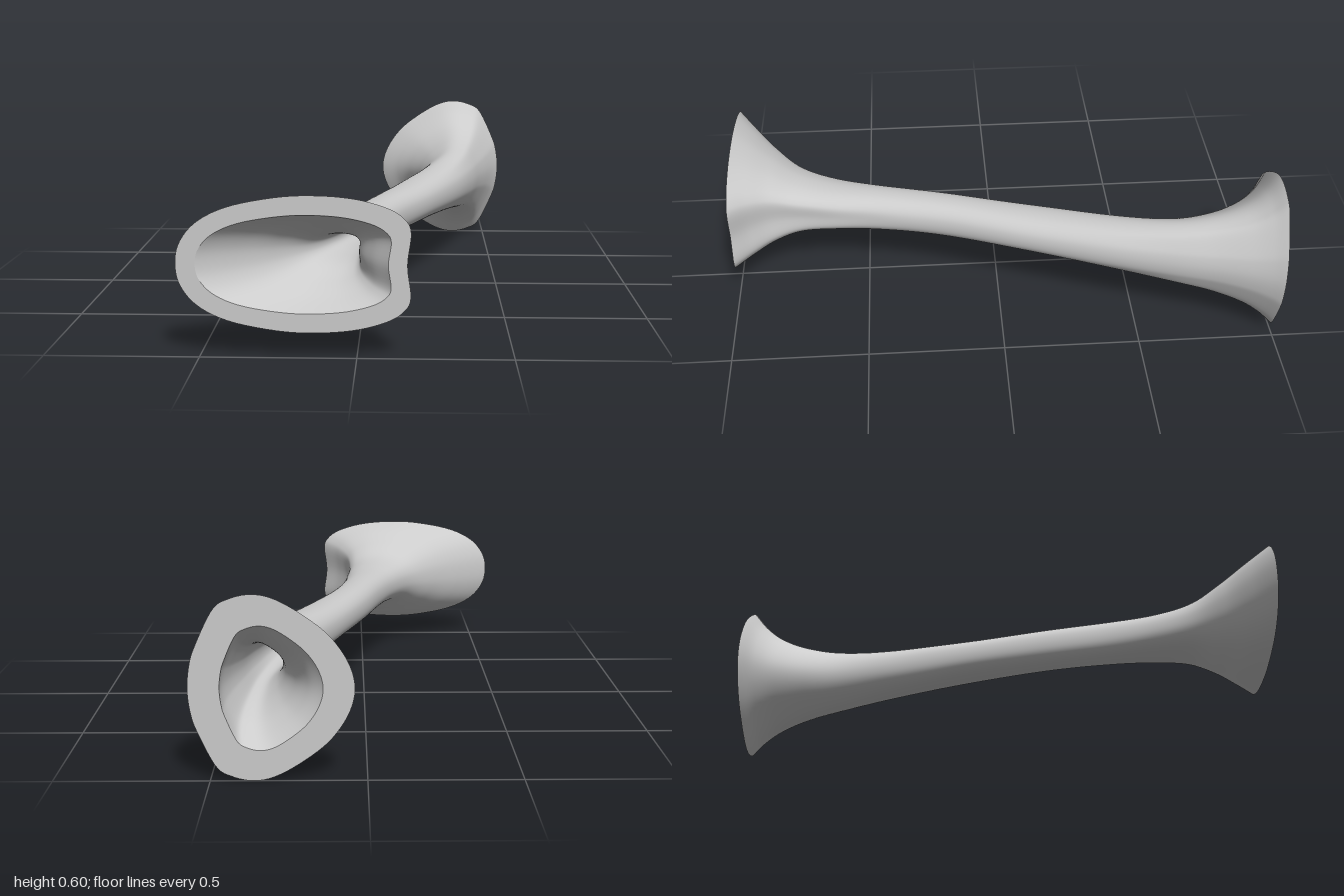
import * as THREE from 'three';

const CENTRE_Y = 0.305;
const RINGS = 120, SIDES = 96;

// Stations along the tube: z, left edge, right edge, half height, wall thickness
const STATIONS = [
  [-1.00, 0.04, 0.565, 0.302, 0.100],
  [-0.95, 0.11, 0.54, 0.245, 0.080],
  [-0.88, 0.165, 0.512, 0.195, 0.068],
  [-0.77, 0.208, 0.475, 0.152, 0.060],
  [-0.62, 0.222, 0.435, 0.120, 0.055],
  [-0.40, 0.17, 0.37, 0.093, 0.050],
  [-0.10, 0.073, 0.262, 0.077, 0.048],
  [0.20, -0.018, 0.15, 0.075, 0.048],
  [0.45, -0.085, 0.09, 0.077, 0.048],
  [0.62, -0.145, 0.068, 0.083, 0.050],
  [0.75, -0.22, 0.055, 0.102, 0.052],
  [0.85, -0.33, 0.066, 0.148, 0.056],
  [0.93, -0.45, 0.11, 0.190, 0.060],
  [1.00, -0.57, 0.17, 0.220, 0.062],
];

// Upper halves of the unit cross-sections, from +x over the top to -x
const BACK = [[1, 0], [0.97, 0.25], [0.9, 0.45], [0.68, 0.84], [0.48, 0.955], [0.22, 1],
  [-0.05, 0.95], [-0.39, 0.78], [-0.7, 0.56], [-0.92, 0.28], [-1, 0]];
const FRONT = [[0.97, 0], [1, 0.46], [0.95, 0.66], [0.81, 0.82], [0.54, 0.95], [0.21, 1],
  [-0.13, 0.975], [-0.54, 0.84], [-0.81, 0.62], [-0.96, 0.32], [-1, 0]];
const MIDDLE = BACK.map((_, i) => {
  const a = (i / 10) * Math.PI, c = Math.cos(a), s = Math.sin(a);
  return [Math.sign(c) * Math.abs(c) ** 0.88, Math.abs(s) ** 0.88];
});

// Blended unit outline at a given z
function outline(z) {
  const f = THREE.MathUtils.smoothstep(z, 0.3, 0.9);
  const b = THREE.MathUtils.smoothstep(-z, 0.2, 0.92);
  const half = MIDDLE.map((m, i) => new THREE.Vector3(
    m[0] * (1 - f - b) + FRONT[i][0] * f + BACK[i][0] * b,
    m[1] * (1 - f - b) + FRONT[i][1] * f + BACK[i][1] * b, 0));
  const lower = half.slice(1, -1).reverse().map((p) => new THREE.Vector3(p.x, -p.y, 0));
  const curve = new THREE.CatmullRomCurve3([...half, ...lower], true, 'catmullrom', 0.5);
  return Array.from({ length: SIDES }, (_, j) => curve.getPoint(j / SIDES));
}

// Surface through a row of closed rings
function loft(name, rings, material) {
  const index = [];
  for (let i = 0; i < rings.length - 1; i++) {
    for (let j = 0; j < SIDES; j++) {
      const k = (j + 1) % SIDES;
      const a = i * SIDES + j, b = i * SIDES + k;
      const c = b + SIDES, d = a + SIDES;
      index.push(a, b, c, a, c, d);
    }
  }
  const geometry = new THREE.BufferGeometry().setFromPoints(rings.flat());
  geometry.setIndex(index);
  geometry.computeVertexNormals();
  const mesh = new THREE.Mesh(geometry, material);
  mesh.name = name;
  return mesh;
}

export function createModel() {
  const material = new THREE.MeshStandardMaterial({ color: 0xcccccc });
  const edges = new THREE.CatmullRomCurve3(
    STATIONS.map(([z, l, r]) => new THREE.Vector3(l, r, z)), false, 'catmullrom', 0.5);
  const sizes = new THREE.CatmullRomCurve3(
    STATIONS.map(([, , , h, t]) => new THREE.Vector3(h, t, 0)), false, 'catmullrom', 0.5);

  const outer = [], inner = [];
  for (let i = 0; i <= RINGS; i++) {
    const { x: left, y: right, z } = edges.getPoint(i / RINGS);
    const { x: halfHeight, y: wall } = sizes.getPoint(i / RINGS);
    const unit = outline(z);
    const ring = (inset) => unit.map((p) => new THREE.Vector3(
      (left + right) / 2 + p.x * ((right - left) / 2 - inset),
      CENTRE_Y + p.y * (halfHeight - inset), z));
    outer.push(ring(0));
    inner.push(ring(wall));
  }

  const group = new THREE.Group();
  group.name = 'flaredTube';
  group.add(
    loft('outerWall', outer, material),
    loft('innerWall', [...inner].reverse(), material),
    loft('frontRim', [outer[RINGS], inner[RINGS]], material),
    loft('backRim', [inner[0], outer[0]], material),
  );
  return group;
}
